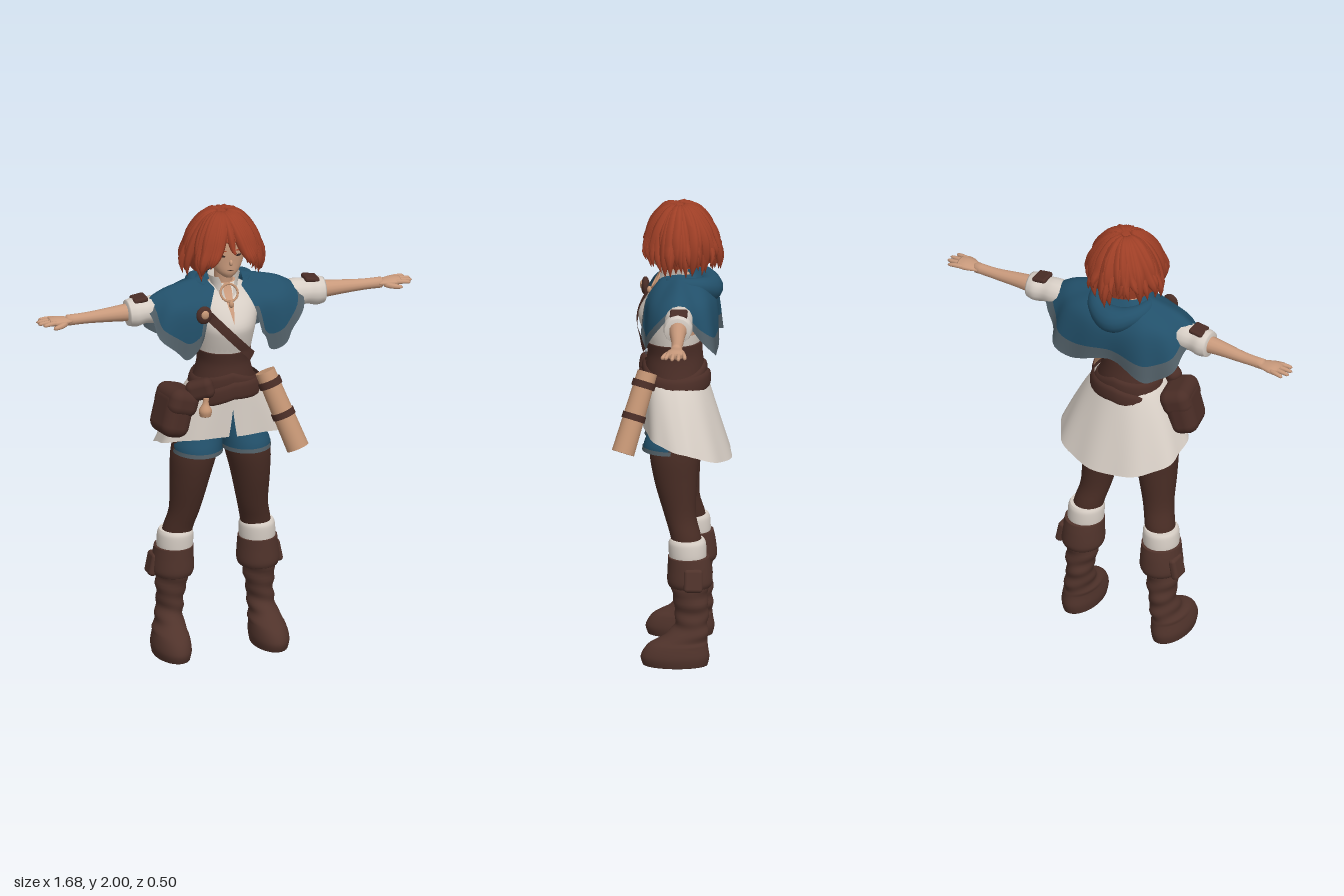
import * as THREE from 'three';
import { mergeVertices } from 'three/addons/utils/BufferGeometryUtils.js';
import { RoundedBoxGeometry } from 'three/addons/geometries/RoundedBoxGeometry.js';

const TAU = Math.PI * 2;
const V = (p) => new THREE.Vector3(...p);

function material(name, color) {
  const m = new THREE.MeshStandardMaterial({ color, side: THREE.DoubleSide });
  m.name = name;
  return m;
}

// Smooth interpolation through rows of numbers
function smooth(rows, t) {
  const n = rows.length, f = t * (n - 1), i = Math.min(Math.floor(f), n - 2), k = f - i;
  const [a, b, c, d] = [rows[Math.max(i - 1, 0)], rows[i], rows[i + 1], rows[Math.min(i + 2, n - 1)]];
  return b.map((q, j) => 0.5 * (2 * q + (c[j] - a[j]) * k + (2 * a[j] - 5 * q + 4 * c[j] - d[j]) * k * k
    + (3 * q - a[j] - 3 * c[j] + d[j]) * k * k * k));
}

function weld(g) {
  g.deleteAttribute('uv');
  g.deleteAttribute('normal');
  const m = mergeVertices(g, 1e-5);
  m.computeVertexNormals();
  return m;
}

// Surface from a rule fn(u, v) -> [x, y, z]
function surface(nu, nv, fn) {
  const pos = [], idx = [], w = nu + 1;
  for (let j = 0; j <= nv; j++) for (let i = 0; i <= nu; i++) pos.push(...fn(i / nu, j / nv));
  for (let j = 0; j < nv; j++) for (let i = 0; i < nu; i++) {
    const a = j * w + i;
    idx.push(a, a + 1, a + w + 1, a, a + w + 1, a + w);
  }
  const g = new THREE.BufferGeometry();
  g.setAttribute('position', new THREE.Float32BufferAttribute(pos, 3));
  g.setIndex(idx);
  return weld(g);
}

// Upright form from rows [y, cx, cz, rx, rz], bottom to top; angle 0 is the front
function loft(rows, { a0 = () => 0, a1 = () => TAU, nu = 32, nv = 20, cap = true, warp = (p) => p } = {}) {
  return surface(nu, nv + 2, (u, w) => {
    const step = Math.round(w * (nv + 2)), v = Math.min(Math.max((step - 1) / nv, 0), 1);
    const [y, cx, cz, rx, rz] = smooth(rows, v);
    const k = cap && (step === 0 || step === nv + 2) ? 0 : 1;
    const a = a0(v) + (a1(v) - a0(v)) * u;
    return warp([cx + k * rx * Math.sin(a), y, cz + k * rz * Math.cos(a)], a);
  });
}

// Tapered tube along points, with a flattening factor for y
function limb(points, radii, { n = 24, seg = 14, fy = 1 } = {}) {
  const curve = new THREE.CatmullRomCurve3(points.map(V));
  const g = new THREE.TubeGeometry(curve, n, 1, seg);
  const p = g.attributes.position, q = new THREE.Vector3();
  for (let i = 0; i <= n; i++) {
    const c = curve.getPointAt(i / n);
    const r = i === 0 || i === n ? 0 : Math.max(smooth(radii.map((x) => [x]), i / n)[0], 0.001);
    for (let j = 0; j <= seg; j++) {
      const k = i * (seg + 1) + j;
      q.fromBufferAttribute(p, k).sub(c);
      p.setXYZ(k, c.x + q.x * r, c.y + q.y * r * fy, c.z + q.z * r);
    }
  }
  return weld(g);
}

export function createModel() {
  const skin = material('skin', 0xc99a7c), hair = material('redHair', 0x9f3f26), blue = material('capeBlue', 0x22506a);
  const trim = material('trimGrey', 0x526068), white = material('linen', 0xd8cfc6), tights = material('tightsBrown', 0x482c24);
  const leather = material('leather', 0x4a2d26), boots = material('bootBrown', 0x50332b);
  const tan = material('tan', 0xc39473), dark = material('eyeDark', 0x33231f);

  const model = new THREE.Group(), body = new THREE.Group();
  body.name = 'body';
  body.position.x = -0.018;
  model.add(body);
  const add = (name, g, m, parent = body) => {
    const mesh = new THREE.Mesh(g, m);
    mesh.name = name;
    parent.add(mesh);
    return mesh;
  };
  const ball = (name, m, p, s) => {
    const b = add(name, new THREE.SphereGeometry(1, 24, 16), m);
    b.position.set(...p);
    b.scale.set(...s);
    return b;
  };

  // Torso, neck and open shirt
  const chest = [[1.36, 0, -0.005, 0.105, 0.1], [1.45, 0, 0.005, 0.118, 0.124], [1.51, 0, 0.01, 0.128, 0.128],
    [1.58, 0, -0.005, 0.14, 0.106], [1.64, 0, -0.02, 0.11, 0.07], [1.68, 0, -0.02, 0.05, 0.05]];
  const grown = chest.map(([y, x, z, a, b]) => [y, x, z, a + 0.007, b + 0.007]);
  add('torso', loft(chest), skin);
  add('neck', loft([[1.6, 0, -0.015, 0.05, 0.045], [1.68, 0, -0.01, 0.04, 0.04], [1.78, 0, 0, 0.04, 0.042]]), skin);
  const opening = (v) => 0.45 * Math.max(0, v - 0.45);
  add('shirtLeft', loft(grown, { a0: opening, a1: () => 1.55, cap: false }), white);
  add('shirtRight', loft(grown, { a0: () => -1.55, a1: (v) => -opening(v), cap: false }), white);
  add('shirtBand', loft([[1.36, 0, -0.005, 0.113, 0.109], [1.43, 0, 0.002, 0.122, 0.127]], { nv: 4, cap: false }), white);
  add('collar', loft([[1.62, 0, 0.005, 0.06, 0.068], [1.67, 0, 0, 0.058, 0.06], [1.715, 0, -0.005, 0.07, 0.065]],
    { a0: (v) => 0.25 + 0.35 * v, a1: (v) => TAU - 0.25 - 0.35 * v, nv: 6, cap: false }), white);
  const necklace = add('necklace', new THREE.TorusGeometry(0.038, 0.005, 8, 28), tan);
  necklace.position.set(0, 1.648, 0.07);
  necklace.rotation.x = -0.5;
  ball('pendant', tan, [0, 1.605, 0.1], [0.011, 0.015, 0.01]);

  // Cape: [neck, shoulder, hem] lines from the front edge round to the back
  const half = [
    [0.06, 1.67, 0.055, 0.1, 1.59, 0.11, 0.13, 1.47, 0.128], [0.072, 1.685, 0.035, 0.16, 1.585, 0.1, 0.195, 1.378, 0.105],
    [0.08, 1.695, 0.0, 0.25, 1.605, 0.06, 0.3, 1.47, 0.085], [0.085, 1.7, -0.03, 0.25, 1.662, -0.03, 0.36, 1.6, -0.03],
    [0.085, 1.7, -0.06, 0.25, 1.615, -0.11, 0.31, 1.47, -0.14], [0.06, 1.7, -0.09, 0.16, 1.6, -0.17, 0.2, 1.38, -0.2]];
  const flip = (k) => k.map((c, i) => (i % 3 ? c : -c));
  const lines = [...half, [0, 1.7, -0.1, 0, 1.58, -0.185, 0, 1.43, -0.19], ...half.map(flip).reverse()];
  const cape = (s0, s1, u0, u1, nu) => surface(nu, 16, (t, v) => {
    const u = u0 + (u1 - u0) * t, k = smooth(lines, u), s = s1 + (s0 - s1) * v;
    const p = smooth([k.slice(0, 3), k.slice(3, 6), k.slice(6)], s), fold = 1 + 0.035 * s * s * Math.sin(u * 70);
    return [p[0] * fold, p[1], p[2] * fold];
  });
  const edge = 0.035;
  add('cape', cape(0, 0.8, edge, 1 - edge, 96), blue);
  add('capeTrim', cape(0.8, 1, edge, 1 - edge, 96), trim);
  for (const [u0, u1] of [[0, edge], [1 - edge, 1]]) {
    add('capeFront', cape(0, 0.5, u0, u1, 4), blue);
    add('capeFrontTrim', cape(0.5, 1, u0, u1, 4), trim);
  }
  add('hood', limb([[0.085, 1.675, 0.03], [0.12, 1.665, -0.05], [0.085, 1.645, -0.125], [0, 1.62, -0.155], [-0.085, 1.645, -0.125],
    [-0.12, 1.665, -0.05], [-0.085, 1.675, 0.03]], [0.012, 0.03, 0.044, 0.06, 0.044, 0.03, 0.012], { n: 40 }), blue);
  ball('brooch', leather, [-0.13, 1.58, 0.123], [0.035, 0.04, 0.018]);
  ball('broochStone', tan, [-0.13, 1.585, 0.136], [0.018, 0.02, 0.01]);

  // Chest strap following the front of the shirt
  add('chestStrap', surface(32, 4, (u, v) => {
    const o = 0.04 * (v - 0.5), x = -0.11 + 0.2 * u + o * 0.65, y = 1.575 - 0.21 * u + o * 0.75;
    const lift = 0.135 + 0.013 * Math.sin(Math.min(Math.max((y - 1.4) / 0.16, 0), 1) * Math.PI);
    return [x, y, lift * Math.sqrt(1 - (x / 0.15) ** 2) + 0.006];
  }), leather);

  // Corset and hip belts
  add('corset', loft([[1.2, 0, -0.01, 0.15, 0.13], [1.27, 0, -0.01, 0.125, 0.125], [1.33, 0, -0.01, 0.112, 0.118], [1.385, 0, -0.005, 0.118, 0.12]]), leather);
  [[1.265, 0.138, 0.045], [1.225, 0.153, 0.03]].forEach(([y, r, dip], i) => add('belt' + (i + 1),
    loft([[y - 0.04, 0, -0.008, r + 0.01, r - 0.007], [y - 0.025, 0, -0.008, r + 0.018, r + 0.001], [y + 0.02, 0, -0.008, r + 0.01, r],
      [y + 0.035, 0, -0.008, r - 0.004, r - 0.012]], { nv: 8, cap: false,
      warp: (p, a) => [p[0], p[1] - dip * Math.abs(Math.sin(a)) + (i ? 0.02 : -0.01) * Math.sin(a), p[2]] }), leather));

  // Tunic skirt, long at the back and slit at the front
  const slit = (v) => 0.11 * Math.max(0, 0.55 - v);
  add('tunicSkirt', surface(72, 18, (u, v) => {
    const s = 1 - v, a = slit(v) + (TAU - 2 * slit(v)) * u, c = Math.cos(a);
    const wave = 1 + 0.02 * s * Math.sin(a * 9), flat = Math.sign(c) * Math.abs(c) ** (c > 0 ? 0.65 : 1);
    const hem = 1.01 - 0.137 * ((1 - c) / 2) ** 1.4;
    return [(0.14 + 0.145 * s ** 0.75) * Math.sin(a) * wave, 1.24 + (hem - 1.24) * s,
      -0.01 - 0.055 * s + (0.132 + 0.055 * s) * flat * wave];
  }), white);

  // Legs, shorts and boots
  for (const s of [1, -1]) {
    const leg = new THREE.Group();
    leg.name = s > 0 ? 'leftLeg' : 'rightLeg';
    leg.position.x = -0.012;
    body.add(leg);
    const part = (name, rows, m, o) => add(name, loft(rows.map(([y, x, ...r]) => [y, x * s, ...r]), o), m, leg);
    part('tights', [[0.45, 0.185, -0.07, 0.06, 0.06], [0.55, 0.175, -0.065, 0.065, 0.065], [0.65, 0.152, -0.038, 0.067, 0.068],
      [0.8, 0.135, -0.018, 0.085, 0.092], [0.94, 0.115, -0.012, 0.1, 0.106], [1.1, 0.08, -0.02, 0.08, 0.085]], tights);
    part('shorts', [[0.925, 0.108, 0, 0.105, 0.123], [0.96, 0.105, -0.002, 0.104, 0.118], [1.03, 0.085, -0.012, 0.092, 0.104], [1.15, 0.065, -0.02, 0.07, 0.09]], blue);
    part('shortsHem', [[0.924, 0.108, 0, 0.108, 0.126], [0.942, 0.107, 0, 0.107, 0.124]], trim, { nv: 2, cap: false });
    part('sock', [[0.45, 0.185, -0.072, 0.072, 0.076], [0.48, 0.185, -0.072, 0.078, 0.08], [0.53, 0.183, -0.07, 0.077, 0.08], [0.55, 0.182, -0.07, 0.07, 0.072]], white);
    part('bootCuff', [[0.345, 0.192, -0.082, 0.084, 0.09], [0.37, 0.192, -0.082, 0.092, 0.097], [0.43, 0.19, -0.08, 0.088, 0.093], [0.475, 0.188, -0.076, 0.084, 0.088]], boots);
    part('boot', [[0, 0.219, -0.02, 0.074, 0.138], [0.04, 0.219, -0.02, 0.08, 0.146], [0.09, 0.216, -0.033, 0.073, 0.126], [0.14, 0.21, -0.075, 0.062, 0.084],
      [0.2, 0.203, -0.09, 0.056, 0.07], [0.27, 0.199, -0.086, 0.062, 0.073], [0.36, 0.192, -0.08, 0.07, 0.08]], boots,
    { nv: 40, warp: ([x, y, z], a) => {
      const f = y > 0.1 ? 0.003 * Math.sin(y * 95 + 1.5 * Math.sin(a)) + 0.002 * Math.sin(y * 60 + 2 * a) : 0;
      return [x + f * Math.sin(a), y, z + f * Math.cos(a)];
    } });
    const flap = add('bootPocket', new RoundedBoxGeometry(0.035, 0.1, 0.08, 3, 0.015), boots, leg);
    flap.position.set(s * 0.277, 0.39, -0.1);
    flap.rotation.z = s * 0.2;
  }

  // Bags, vial and scroll case at the hips
  const box = (name, size, r, p, rot, m) => {
    const b = add(name, new RoundedBoxGeometry(...size, 4, r), m);
    b.position.set(...p);
    b.rotation.set(...rot);
  };
  box('sideBag', [0.13, 0.21, 0.18], 0.05, [-0.245, 1.13, 0.04], [0, 0.2, -0.25], leather);
  box('sideBagFlap', [0.14, 0.12, 0.19], 0.045, [-0.225, 1.18, 0.04], [0, 0.2, -0.3], leather);
  box('frontPouch', [0.12, 0.09, 0.07], 0.03, [-0.14, 1.235, 0.1], [0, -0.5, 0.3], leather);
  add('vial', limb([[-0.125, 1.21, 0.135], [-0.13, 1.165, 0.14], [-0.13, 1.125, 0.14]], [0.012, 0.014, 0.028, 0.024]), tan);
  const top = V([0.15, 1.285, 0.1]), end = V([0.265, 0.955, 0.2]);
  const scrollCase = new THREE.Group();
  scrollCase.name = 'scrollCase';
  scrollCase.position.copy(top).lerp(end, 0.5);
  scrollCase.quaternion.setFromUnitVectors(V([0, 1, 0]), top.clone().sub(end).normalize());
  body.add(scrollCase);
  add('caseTube', new THREE.CylinderGeometry(0.043, 0.049, 0.36, 28), tan, scrollCase);
  for (const [y, h] of [[0.125, 0.03], [-0.02, 0.028]]) {
    add('caseBand', new THREE.CylinderGeometry(0.051, 0.051, h, 28), leather, scrollCase).position.y = y;
  }

  // Arms, sleeves and hands
  for (const s of [1, -1]) {
    const arm = new THREE.Group();
    arm.name = s > 0 ? 'leftArm' : 'rightArm';
    model.add(arm);
    const tube = (name, pts, r, m, o) => add(name, limb(pts.map(([x, y, z]) => [x * s, y, z]), r, o), m, arm);
    tube('armSkin', [[0.1, 1.575, -0.04], [0.3, 1.57, -0.045], [0.48, 1.568, -0.045], [0.6, 1.564, -0.05], [0.73, 1.563, -0.05]],
      [0.055, 0.05, 0.047, 0.04, 0.031, 0.024, 0.024], skin);
    tube('sleeve', [[0.24, 1.572, -0.04], [0.35, 1.57, -0.042], [0.447, 1.565, -0.043]], [0.05, 0.058, 0.06, 0.056, 0.063, 0.055], white, { n: 30 });
    const patch = add('sleevePatch', new RoundedBoxGeometry(0.065, 0.022, 0.075, 3, 0.01), leather, arm);
    patch.position.set(s * 0.385, 1.625, -0.045);
    patch.rotation.z = -s * 0.15;
    tube('palm', [[0.685, 1.563, -0.05], [0.74, 1.565, -0.05], [0.79, 1.565, -0.052]], [0.024, 0.035, 0.042, 0.036], skin, { fy: 0.42 });
    [[-0.088, 0.822], [-0.064, 0.84], [-0.04, 0.84], [-0.016, 0.825]].forEach(([z, x]) => tube('finger',
      [[0.75, 1.566, -0.05 + (z + 0.05) * 0.75], [0.79, 1.567, z], [x, 1.563, z * 1.15 + 0.008]], [0.01, 0.0105, 0.009, 0.007], skin, { n: 10, seg: 8 }));
    tube('thumb', [[0.71, 1.56, -0.035], [0.745, 1.555, -0.008], [0.785, 1.552, 0.008]], [0.012, 0.013, 0.011, 0.008], skin, { n: 10, seg: 8 });
  }

  // Head and face
  add('head', loft([[1.72, 0, 0.048, 0.022, 0.03], [1.745, 0, 0.033, 0.052, 0.058], [1.79, 0, 0.008, 0.08, 0.085],
    [1.84, 0, -0.007, 0.092, 0.102], [1.9, 0, -0.012, 0.09, 0.1], [1.95, 0, -0.02, 0.05, 0.06]]), skin);
  ball('nose', skin, [0, 1.792, 0.094], [0.008, 0.014, 0.011]);
  ball('mouth', dark, [0, 1.757, 0.091], [0.014, 0.0018, 0.003]);
  for (const s of [1, -1]) {
    ball('eye', dark, [s * 0.037, 1.823, 0.087], [0.014, 0.005, 0.003]).rotation.y = s * 0.4;
    ball('brow', hair, [s * 0.038, 1.847, 0.088], [0.02, 0.003, 0.004]).rotation.y = s * 0.4;
  }

  // Hair: an inner shell covered with layered, tousled locks
  add('hairTop', loft([[1.885, 0, -0.025, 0.115, 0.125], [1.93, 0, -0.025, 0.098, 0.11], [1.965, 0, -0.025, 0.068, 0.08], [1.988, 0, -0.025, 0.025, 0.03]]), hair);
  add('hairShell', loft([[1.74, 0, -0.03, 0.135, 0.135], [1.82, 0, -0.03, 0.143, 0.145], [1.9, 0, -0.025, 0.115, 0.125]],
    { a0: () => 0.9, a1: () => TAU - 0.9, cap: false }), hair);
  let seed = 7;
  const rand = () => (seed = (seed * 16807) % 2147483647) / 2147483647;
  const lock = (a0, a1, yEnd, size, reach) => {
    const path = [[0.06, 1.985], [0.42, 1.968], [0.74, 1.912], [0.93, 1.85], [1.02 * reach, (1.83 + yEnd) / 2], [reach, yEnd]];
    add('hairLock', limb(path.map(([r, y], i) => {
      const a = a0 + (a1 - a0) * (i / 5) ** 0.8;
      return [0.152 * r * Math.sin(a), y, -0.03 + 0.154 * r * Math.cos(a)];
    }), [0.01, 0.02, 0.024, 0.025, 0.018, 0.002].map((r) => r * size), { n: 16, seg: 7 }), hair);
  };
  for (let i = 0; i < 56; i++) {
    const a = 0.8 + (TAU - 1.6) * (i / 55);
    lock(a + 0.5 * (rand() - 0.5), a + 0.8 * (rand() - 0.5), 1.7 + 0.085 * rand(), 0.75 + 0.45 * rand(), 0.92 + 0.22 * rand());
  }
  for (const s of [1, -1]) for (let i = 0; i < 7; i++) {
    lock(s * (0.06 + 0.11 * i), s * (0.57 + 0.055 * i), 1.765 - 0.008 * i + 0.03 * rand(), 0.85, 1.04 + 0.07 * rand());
  }
  lock(-0.1, 0.12, 1.85, 0.7, 1);

  return model;
}
